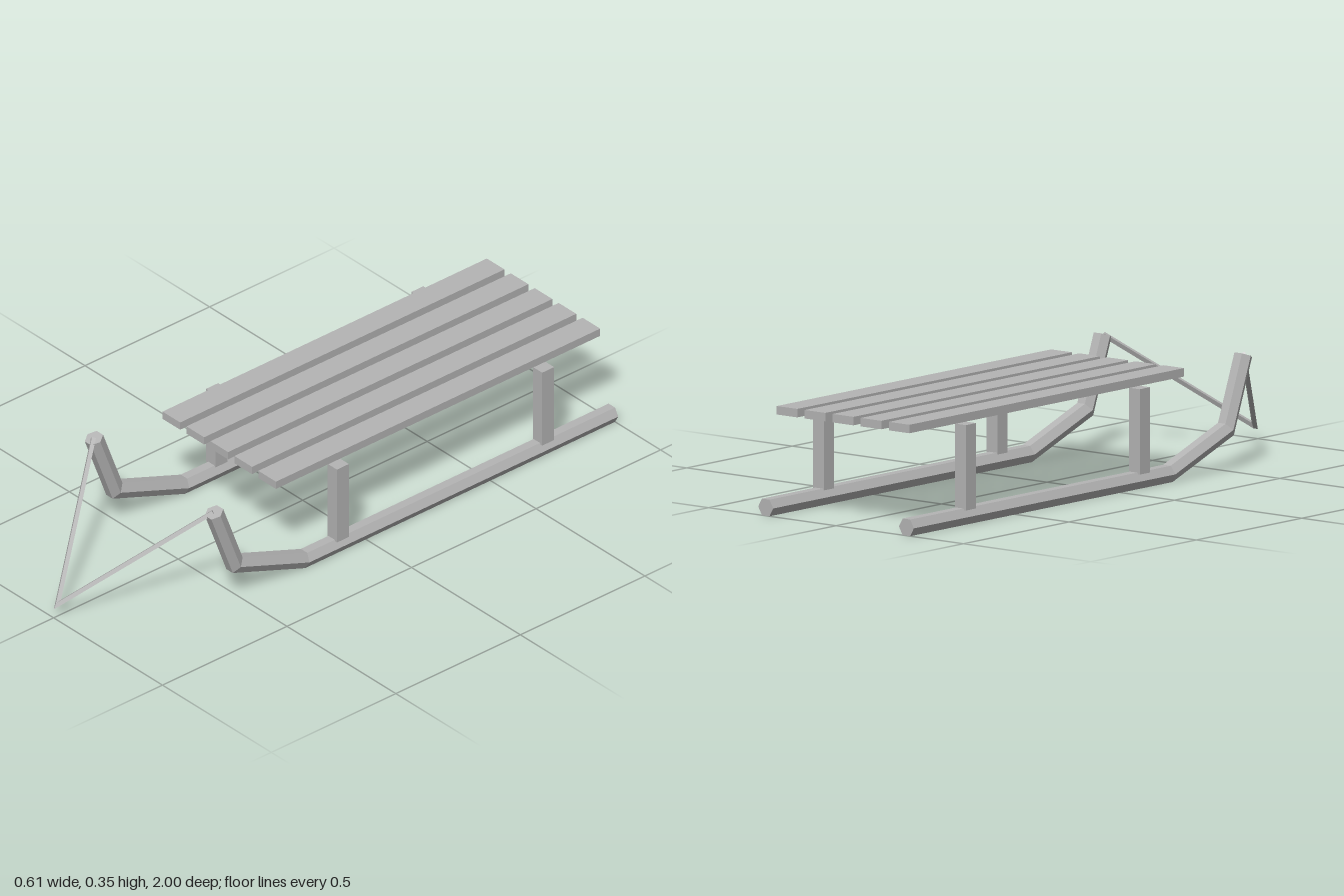
import * as THREE from 'three';

// Prism swept along a planar path with mitred bends and capped ends.
// One pair of its corners lies along the path plane's normal.
function sweep(points, normal, sides, radius) {
  const path = points.map(p => new THREE.Vector3(...p));
  const last = path.length - 1;
  const rings = path.map((p, i) => {
    const before = p.clone().sub(path[Math.max(i - 1, 0)]).normalize();
    const after = path[Math.min(i + 1, last)].clone().sub(p).normalize();
    const tangent = before.clone().add(after).normalize();
    const mitre = 1 / tangent.dot(i < last ? after : before);
    const side = tangent.clone().cross(normal);
    return Array.from({ length: sides }, (_, j) => {
      const a = (j / sides) * Math.PI * 2;
      return p.clone()
        .addScaledVector(normal, radius * Math.cos(a))
        .addScaledVector(side, radius * mitre * Math.sin(a));
    });
  });
  const verts = [];
  const tri = (a, b, c) => verts.push(...a, ...b, ...c);
  for (let j = 0; j < sides; j++) {
    const k = (j + 1) % sides;
    for (let i = 0; i < last; i++) {
      tri(rings[i][j], rings[i][k], rings[i + 1][k]);
      tri(rings[i][j], rings[i + 1][k], rings[i + 1][j]);
    }
    tri(path[last], rings[last][j], rings[last][k]);
    tri(path[0], rings[0][k], rings[0][j]);
  }
  const geometry = new THREE.BufferGeometry();
  geometry.setAttribute('position', new THREE.Float32BufferAttribute(verts, 3));
  geometry.computeVertexNormals();
  return geometry;
}

export function createModel() {
  const sled = new THREE.Group();
  sled.name = 'sled';
  const grey = new THREE.MeshStandardMaterial({ color: 0xb4b4b4 });
  grey.name = 'plain grey';

  const add = (name, geometry, x = 0, y = 0, z = 0) => {
    const mesh = new THREE.Mesh(geometry, grey);
    mesh.name = name;
    mesh.position.set(x, y, z);
    sled.add(mesh);
  };

  // Seat slats
  const slat = new THREE.BoxGeometry(0.081, 0.026, 1.302);
  for (let i = -2; i <= 2; i++) add('seatSlat', slat, i * 0.11, 0.321, -0.316);

  // Hexagonal runners with upturned noses, and the posts on them
  const runner = sweep(
    [[0, 0.0255, -1], [0, 0.0255, 0.24], [0, 0.125, 0.515], [0, 0.342, 0.597]],
    new THREE.Vector3(1, 0, 0), 6, 0.0295);
  const post = new THREE.BoxGeometry(0.043, 0.262, 0.048);
  for (const [side, s] of [['left', 1], ['right', -1]]) {
    add(side + 'Runner', runner, s * 0.276);
    add(side + 'FrontPost', post, s * 0.279, 0.177, 0.101);
    add(side + 'BackPost', post, s * 0.279, 0.177, -0.723);
  }

  // Pull rope, tied to both noses and meeting at a point in front
  const tip = [0, 0.041, 0.985];
  const tie = [0.275, 0.343, 0.6];
  const ropeNormal = new THREE.Vector3(0, tip[2] - tie[2], tie[1] - tip[1]).normalize();
  add('pullRope', sweep([[-tie[0], tie[1], tie[2]], tip, tie], ropeNormal, 4, 0.009));

  return sled;
}
